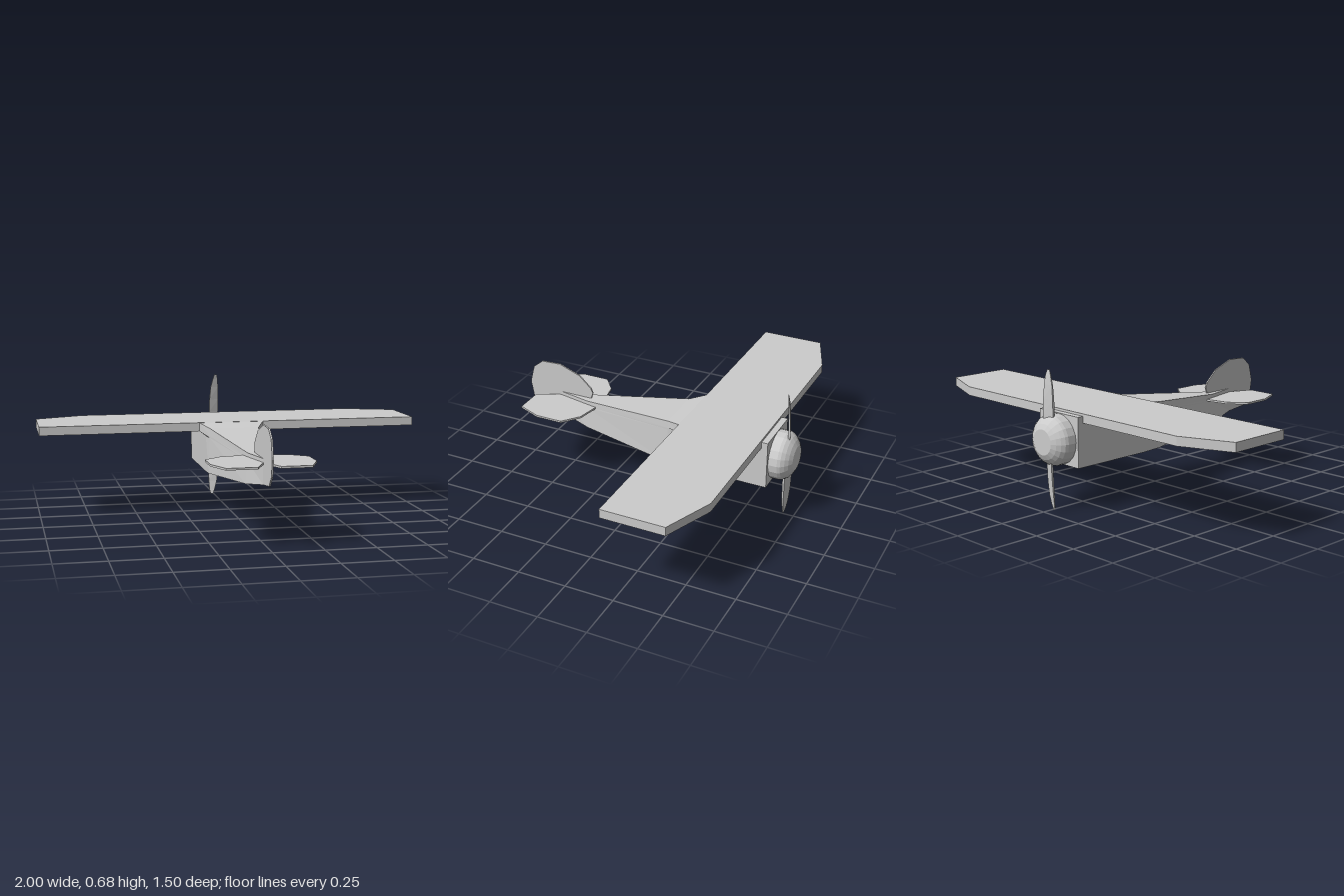
import * as THREE from 'three';

const material = new THREE.MeshStandardMaterial({ color: 0xcccccc, flatShading: true });

function part(name, geometry) {
  const mesh = new THREE.Mesh(geometry, material);
  mesh.name = name;
  return mesh;
}

// Skin between equal rings that advance along +z, each counterclockwise seen from +z
function loft(rings) {
  const n = rings[0].length, last = rings.length - 1, index = [];
  for (let i = 0; i < last; i++) {
    for (let j = 0; j < n; j++) {
      const k = (j + 1) % n;
      const a = i * n + j, b = i * n + k, c = b + n, d = a + n;
      index.push(a, b, c, a, c, d);
    }
  }
  for (let j = 1; j < n - 1; j++) {
    index.push(0, j + 1, j, last * n, last * n + j, last * n + j + 1);
  }
  const geometry = new THREE.BufferGeometry();
  geometry.setAttribute('position', new THREE.Float32BufferAttribute(rings.flat(2), 3));
  geometry.setIndex(index);
  const flat = geometry.toNonIndexed();
  flat.computeVertexNormals();
  return flat;
}

function plate(points, depth) {
  const shape = new THREE.Shape(points.map(([x, y]) => new THREE.Vector2(x, y)));
  return new THREE.ExtrudeGeometry(shape, { depth, bevelEnabled: false });
}

// Horizontal slab from the right-hand half of its [x, z] outline, mirrored
function slab(half, top, thickness) {
  const mirrored = half.map(([x, z]) => [-x, z]).reverse();
  return plate([...half, ...mirrored], thickness).rotateX(Math.PI / 2).translate(0, top, 0);
}

// Vertical plate from a [z, y] outline
function upright(points, thickness) {
  return plate(points, thickness).rotateY(-Math.PI / 2).translate(thickness / 2, 0, 0);
}

export function createModel() {
  const model = new THREE.Group();
  model.name = 'airplane';

  // Fuselage: z, then half section from the bottom corner to the top corner
  const sections = [
    [-0.645, [[0.137, 0.22], [0.137, 0.4], [0.137, 0.43], [0.137, 0.468]]],
    [-0.22, [[0.137, 0.22], [0.137, 0.4], [0.137, 0.43], [0.137, 0.468]]],
    [-0.19, [[0.137, 0.221], [0.137, 0.41], [0.17, 0.435], [0.17, 0.479]]],
    [-0.11, [[0.137, 0.224], [0.13, 0.41], [0.13, 0.42], [0.128, 0.458]]],
    [0.39, [[0.05, 0.257], [0.042, 0.37], [0.041, 0.38], [0.04, 0.408]]],
    [0.57, [[0.003, 0.283], [0.003, 0.37], [0.003, 0.38], [0.003, 0.408]]],
  ];
  model.add(part('fuselage', loft(sections.map(([z, half]) => [
    ...half.map(([x, y]) => [x, y, z]),
    ...half.map(([x, y]) => [-x, y, z]).reverse(),
  ]))));

  // Main wing with clipped leading corners
  model.add(part('wing', slab(
    [[0.745, -0.613], [1, -0.513], [1, -0.19]], 0.48, 0.045)));

  // Tail surfaces
  model.add(part('tailplane', slab(
    [[0.055, 0.34], [0.17, 0.362], [0.255, 0.43], [0.255, 0.57], [0.205, 0.69], [0.055, 0.69], [0.002, 0.57]],
    0.389, 0.01)));
  model.add(part('fin', upright(
    [[0.57, 0.283], [0.57, 0.567], [0.455, 0.525], [0.39, 0.465], [0.378, 0.44], [0.39, 0.405], [0.45, 0.35]],
    0.008)));
  model.add(part('rudder', upright(
    [[0.57, 0.283], [0.687, 0.297], [0.735, 0.347], [0.75, 0.43], [0.727, 0.52], [0.675, 0.562], [0.57, 0.567]],
    0.008)));

  // Rounded engine cowl
  const profile = [[0, 0.64], [0.124, 0.64], [0.124, 0.69], [0.119, 0.705], [0.106, 0.722], [0.088, 0.737], [0.063, 0.75], [0, 0.75]];
  const cowl = new THREE.LatheGeometry(profile.map(([r, y]) => new THREE.Vector2(r, y)), 20);
  model.add(part('engineCowl', cowl.rotateX(-Math.PI / 2).translate(0, 0.342, 0)));

  // Propeller: radius, left edge, right edge and pitch depth of each blade section
  const stations = [
    [0, -0.02, 0.02, 0.028], [0.13, -0.025, 0.027, 0.028], [0.2, -0.023, 0.028, 0.025],
    [0.27, -0.016, 0.027, 0.018], [0.315, -0.004, 0.024, 0.011], [0.341, 0.005, 0.018, 0.004],
  ];
  const blade = loft(stations.map(([r, x0, x1, d]) => [
    [x0, 0.69, r], [x1, 0.69 + d * 0.6, r], [x1, 0.69 + d, r], [x0, 0.69 + d * 0.4, r],
  ])).rotateX(-Math.PI / 2);
  const propeller = new THREE.Group();
  propeller.name = 'propeller';
  propeller.position.y = 0.341;
  for (let i = 0; i < 2; i++) {
    const mesh = part('propellerBlade', blade);
    mesh.rotation.z = i * Math.PI;
    propeller.add(mesh);
  }
  model.add(propeller);

  return model;
}
